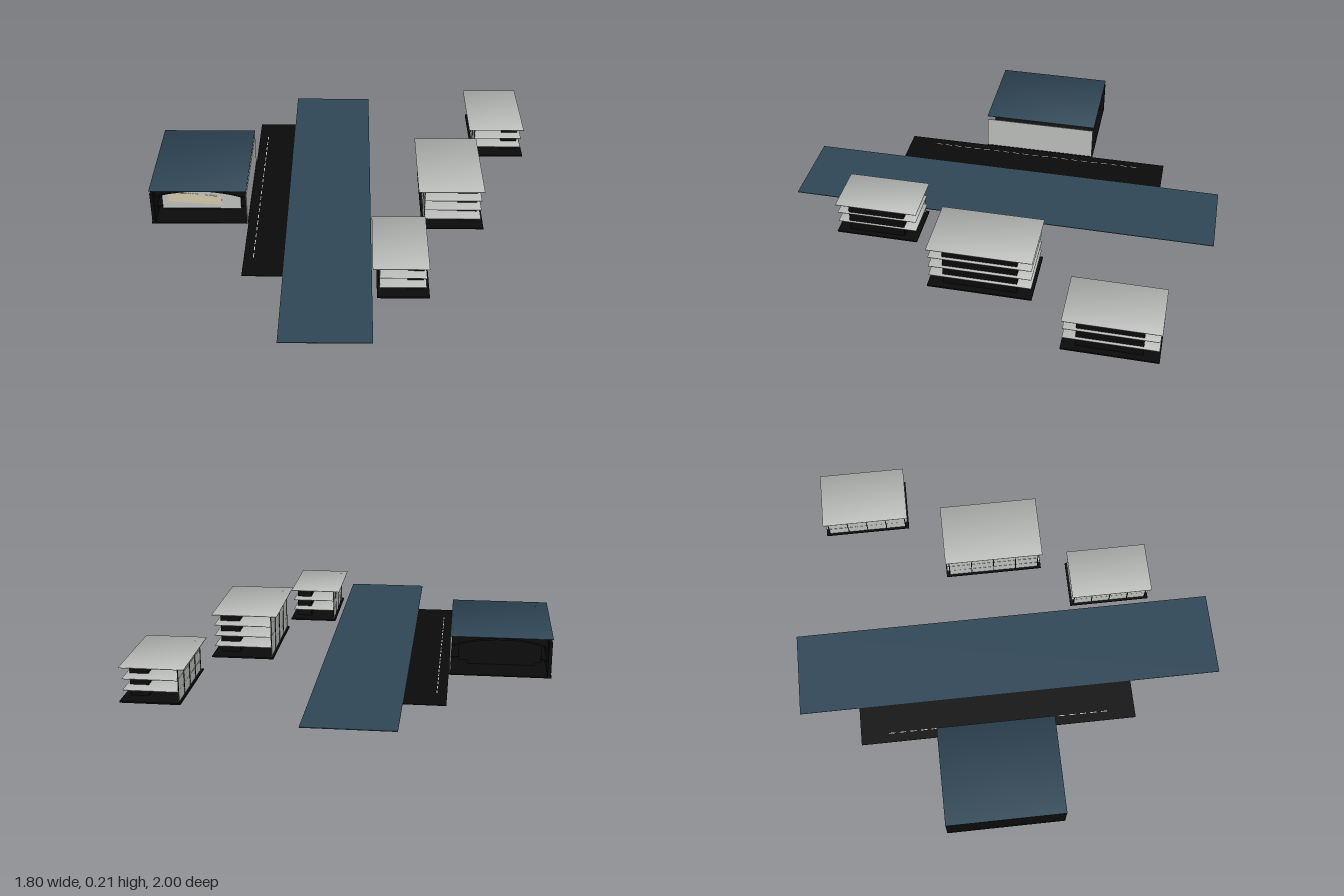
import * as THREE from 'three';

const paint = (name, color) => {
  const m = new THREE.MeshStandardMaterial({ color, side: THREE.DoubleSide });
  m.name = name;
  return m;
};

export function createModel() {
  const model = new THREE.Group();
  const blue = paint('slate blue', 0x2f4656);
  const black = paint('black', 0x0a0a0a);
  const grey = paint('light grey', 0xbcbebb);
  const beige = paint('beige', 0xd0c8aa);

  const add = (parent, name, geometry, material) => {
    const mesh = new THREE.Mesh(geometry, material);
    mesh.name = name;
    parent.add(mesh);
    return mesh;
  };
  // Box given by its limits on each axis
  const block = (parent, name, material, [x0, x1], [y0, y1], [z0, z1]) => {
    const g = new THREE.BoxGeometry(x1 - x0, y1 - y0, z1 - z0);
    g.translate((x0 + x1) / 2, (y0 + y1) / 2, (z0 + z1) / 2);
    return add(parent, name, g, material);
  };
  // Thin plate whose corner normals fan outwards, for soft shading
  const softPlate = (...args) => {
    const mesh = block(...args);
    const g = mesh.geometry;
    g.computeBoundingBox();
    const c = g.boundingBox.getCenter(new THREE.Vector3());
    const p = g.attributes.position;
    for (let i = 0; i < p.count; i++) {
      const n = new THREE.Vector3(Math.sign(p.getX(i) - c.x) * 0.5,
        Math.sign(p.getY(i) - c.y), Math.sign(p.getZ(i) - c.z) * 0.5).normalize();
      g.attributes.normal.setXYZ(i, n.x, n.y, n.z);
    }
    return mesh;
  };

  // Canal and road
  block(model, 'canal', blue, [-0.27, 0.12], [0, 0.003], [-1, 1]);
  const road = new THREE.Group();
  road.name = 'road';
  model.add(road);
  block(road, 'asphalt', black, [-0.45, -0.27], [0, 0.003], [-0.72, 0.57]);
  for (let i = 0; i < 21; i++) {
    const z = -0.59 + i * 0.05;
    block(road, 'laneDash', grey, [-0.409, -0.405], [0.003, 0.004], [z, z + 0.03]);
  }

  // Hall with an arched vault under a flat roof
  const hall = new THREE.Group();
  hall.name = 'hall';
  model.add(hall);
  block(hall, 'hallFloor', black, [-0.9, -0.45], [0, 0.005], [-0.36, 0.18]);
  block(hall, 'hallPlinth', black, [-0.83, -0.53], [0.005, 0.02], [-0.22, 0.07]);
  softPlate(hall, 'hallRoof', blue, [-0.9, -0.453], [0.178, 0.181], [-0.36, 0.18]);
  block(hall, 'leftWall', black, [-0.897, -0.882], [0, 0.163], [-0.36, 0.18]);
  block(hall, 'rightWall', grey, [-0.456, -0.453], [0, 0.16], [-0.355, 0.18]);
  block(hall, 'leftGangway', black, [-0.882, -0.86], [0.04, 0.046], [-0.25, 0.1]);
  block(hall, 'rightGangway', black, [-0.49, -0.456], [0.04, 0.046], [-0.25, 0.1]);

  const arcY = (x, crown, drop, half) => crown - drop * ((x + 0.68) / half) ** 2;
  const extrudeZ = (shape, z0, z1) =>
    new THREE.ExtrudeGeometry(shape, { depth: z1 - z0, bevelEnabled: false }).translate(0, 0, z0);

  const steps = [...Array(17).keys()].map(i => i / 16);
  const vaultTop = steps.map(t => {
    const x = -0.895 + t * 0.435;
    return new THREE.Vector2(x, arcY(x, 0.167, 0.038, 0.22));
  });
  const vaultUnder = vaultTop.map(p => new THREE.Vector2(p.x, p.y - 0.008)).reverse();
  add(hall, 'vault', extrudeZ(new THREE.Shape([...vaultTop, ...vaultUnder]), -0.33, 0.15), black);

  const faceTop = steps.map(t => {
    const x = -0.86 + t * 0.37;
    return new THREE.Vector2(x, arcY(x, 0.148, 0.02, 0.185));
  });
  const face = new THREE.Shape([...faceTop, new THREE.Vector2(-0.49, 0.02), new THREE.Vector2(-0.86, 0.02)]);
  add(hall, 'hallBody', extrudeZ(face, -0.22, 0.08), black);
  add(hall, 'hallFront', extrudeZ(face, 0.08, 0.084), grey);

  // Uneven beige panel on the hall front
  const upper = steps.map(t => new THREE.Vector2(-0.83 + t * 0.25, 0.108 - 0.022 * t * t + 0.003 * Math.sin(t * 40)));
  const lower = steps.map(t => new THREE.Vector2(-0.83 + t * 0.25, 0.06 - 0.018 * t + 0.003 * Math.sin(t * 33))).reverse();
  add(hall, 'frontPanel', extrudeZ(new THREE.Shape([...upper, ...lower]), 0.084, 0.086), beige);

  // Open-sided blocks: roof limits, core limits and number of floors
  const building = (name, [x0, x1], [z0, z1], coreX, coreZ, floors) => {
    const b = new THREE.Group();
    b.name = name;
    model.add(b);
    const h = 0.005 + floors * 0.05;
    const fx = x0 + 0.03;
    block(b, 'base', black, [x0 + 0.02, x1 + 0.005], [0, 0.007], [z0, z1]);
    block(b, 'core', black, coreX, [0.007, h - 0.002], coreZ);
    for (let i = 1; i < floors; i++) {
      const y = 0.005 + i * 0.05;
      softPlate(b, 'floorSlab', grey, [fx, x1 - 0.01], [y - 0.002, y + 0.001], [z0 + 0.005, z1 - 0.005]);
    }
    softPlate(b, 'roofSlab', grey, [x0, x1], [h - 0.002, h + 0.001], [z0, z1]);
    block(b, 'facade', grey, [fx, fx + 0.002], [0.007, h - 0.002], [z0 + 0.015, z1 - 0.015]);
    // Dark dividers on the facade
    for (let i = 0; i <= 4; i++) {
      const z = z0 + 0.015 + (z1 - z0 - 0.034) * i / 4;
      block(b, 'facadeDivider', black, [fx - 0.002, fx], [0.007, h - 0.002], [z, z + 0.004]);
    }
  };
  building('frontBuilding', [0.12, 0.36], [0.335, 0.715], [0.27, 0.34], [0.4, 0.66], 3);
  building('middleBuilding', [0.335, 0.635], [-0.25, 0.215], [0.52, 0.61], [-0.18, 0.15], 4);
  building('backBuilding', [0.62, 0.893], [-0.825, -0.415], [0.79, 0.87], [-0.755, -0.475], 3);

  return model;
}
